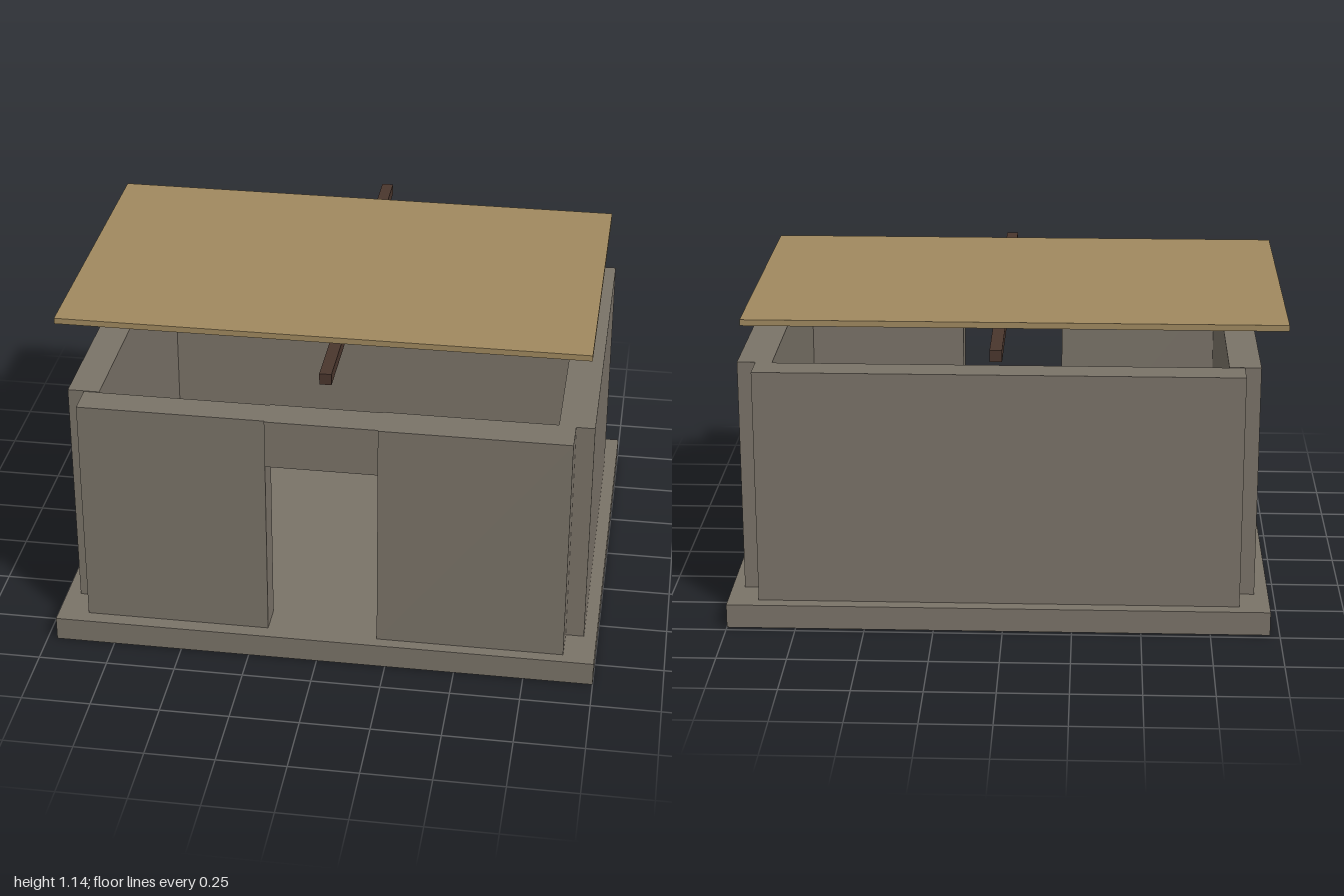
import * as THREE from 'three';

const stone = new THREE.MeshStandardMaterial({ name: 'stone', color: 0x7a7368 });
const thatch = new THREE.MeshStandardMaterial({ name: 'thatch', color: 0xa0895f });
const darkWood = new THREE.MeshStandardMaterial({ name: 'darkWood', color: 0x4a362d });

// Box given by its extent along each axis
function slab(name, material, [x0, x1], [y0, y1], [z0, z1]) {
  const mesh = new THREE.Mesh(new THREE.BoxGeometry(x1 - x0, y1 - y0, z1 - z0), material);
  mesh.name = name;
  mesh.position.set((x0 + x1) / 2, (y0 + y1) / 2, (z0 + z1) / 2);
  return mesh;
}

export function createModel() {
  const hut = new THREE.Group();
  hut.name = 'hut';
  const wallY = [0.088, 0.956];
  const doorTop = 0.775;

  // Foundation
  hut.add(slab('foundation', stone, [-0.965, 1], [0, 0.088], [-0.728, 0.873]));

  // Back and side walls, set in from the corners
  hut.add(slab('backWall', stone, [-0.855, 0.888], wallY, [-0.678, -0.562]));
  hut.add(slab('rightWall', stone, [-0.914, -0.8], wallY, [-0.559, 0.701]));
  hut.add(slab('leftWall', stone, [0.828, 0.954], wallY, [-0.559, 0.703]));

  // Front wall in three slightly uneven pieces around the doorway
  const frontWall = new THREE.Group();
  frontWall.name = 'frontWall';
  frontWall.add(
    slab('frontWallRight', stone, [-0.855, -0.186], wallY, [0.705, 0.819]),
    slab('doorLintel', stone, [-0.186, 0.214], [doorTop, wallY[1]], [0.7, 0.825]),
    slab('frontWallLeft', stone, [0.214, 0.888], wallY, [0.695, 0.83]),
  );
  hut.add(frontWall);

  // Ridge beam and the flat roof resting above it
  hut.add(slab('ridgeBeam', darkWood, [-0.006, 0.037], [1.066, 1.108], [-0.874, 0.727]));
  hut.add(slab('roofPanel', thatch, [-1, 0.925], [1.12, 1.142], [-0.654, 0.521]));

  return hut;
}
